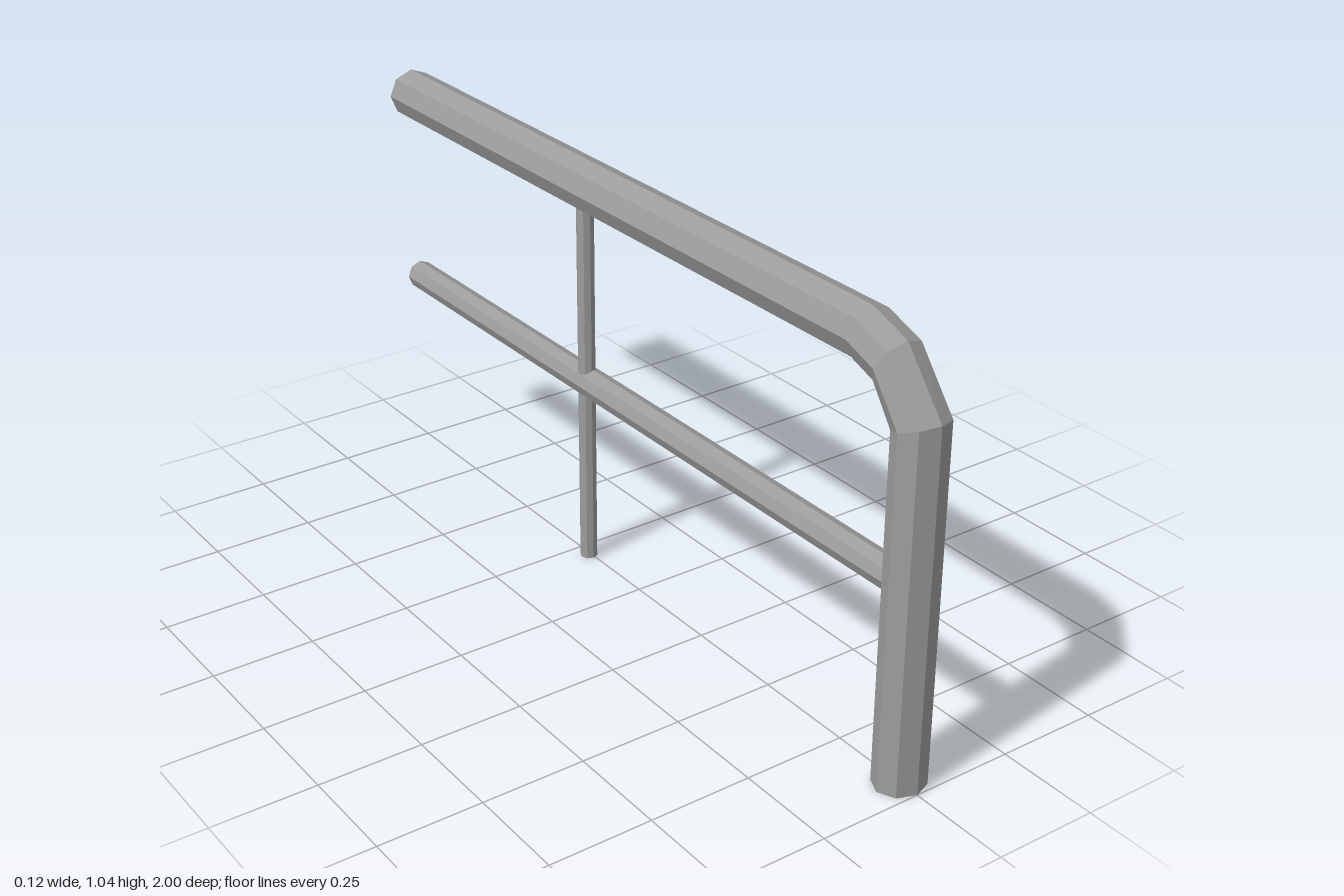
import * as THREE from 'three';

const SIDES = 8;
const material = new THREE.MeshStandardMaterial({
  color: 0x9c9c9c, flatShading: true, side: THREE.DoubleSide,
});

// Open eight-sided pipe between two heights
function pipe(name, radius, length) {
  const mesh = new THREE.Mesh(
    new THREE.CylinderGeometry(radius, radius, length, SIDES, 1, true), material);
  mesh.name = name;
  return mesh;
}

// Bent pipe in the yz plane; each ring is given by its outer and inner point [z, y]
function bentPipe(name, radius, rings) {
  const positions = [], indices = [];
  rings.forEach(([outer, inner], r) => {
    for (let i = 0; i < SIDES; i++) {
      const a = (i / SIDES) * Math.PI * 2;
      const t = (1 + Math.cos(a)) / 2;
      positions.push(
        radius * Math.sin(a),
        THREE.MathUtils.lerp(inner[1], outer[1], t),
        THREE.MathUtils.lerp(inner[0], outer[0], t));
      if (r === 0) continue;
      const j = (i + 1) % SIDES, lo = (r - 1) * SIDES, hi = r * SIDES;
      indices.push(lo + i, lo + j, hi + j, lo + i, hi + j, hi + i);
    }
  });
  const geometry = new THREE.BufferGeometry();
  geometry.setAttribute('position', new THREE.Float32BufferAttribute(positions, 3));
  geometry.setIndex(indices);
  geometry.computeVertexNormals();
  const mesh = new THREE.Mesh(geometry, material);
  mesh.name = name;
  return mesh;
}

export function createModel() {
  const group = new THREE.Group();
  group.name = 'railing';

  // End post that bends over into the handrail
  group.add(bentPipe('handrail', 0.062, [
    [[1, 0], [0.885, 0]],
    [[1, 0.862], [0.885, 0.82]],
    [[0.89, 1.0], [0.836, 0.895]],
    [[0.785, 1.037], [0.776, 0.917]],
    [[-1, 1.037], [-1, 0.917]],
  ]));

  // Lower rail, running back from the end post
  const midRail = pipe('midRail', 0.036, 1.895);
  midRail.rotation.x = Math.PI / 2;
  midRail.position.set(0, 0.476, -0.0525);
  group.add(midRail);

  // Thin upright under the handrail
  const upright = pipe('upright', 0.021, 0.925);
  upright.position.set(-0.005, 0.4625, -0.208);
  group.add(upright);

  return group;
}
